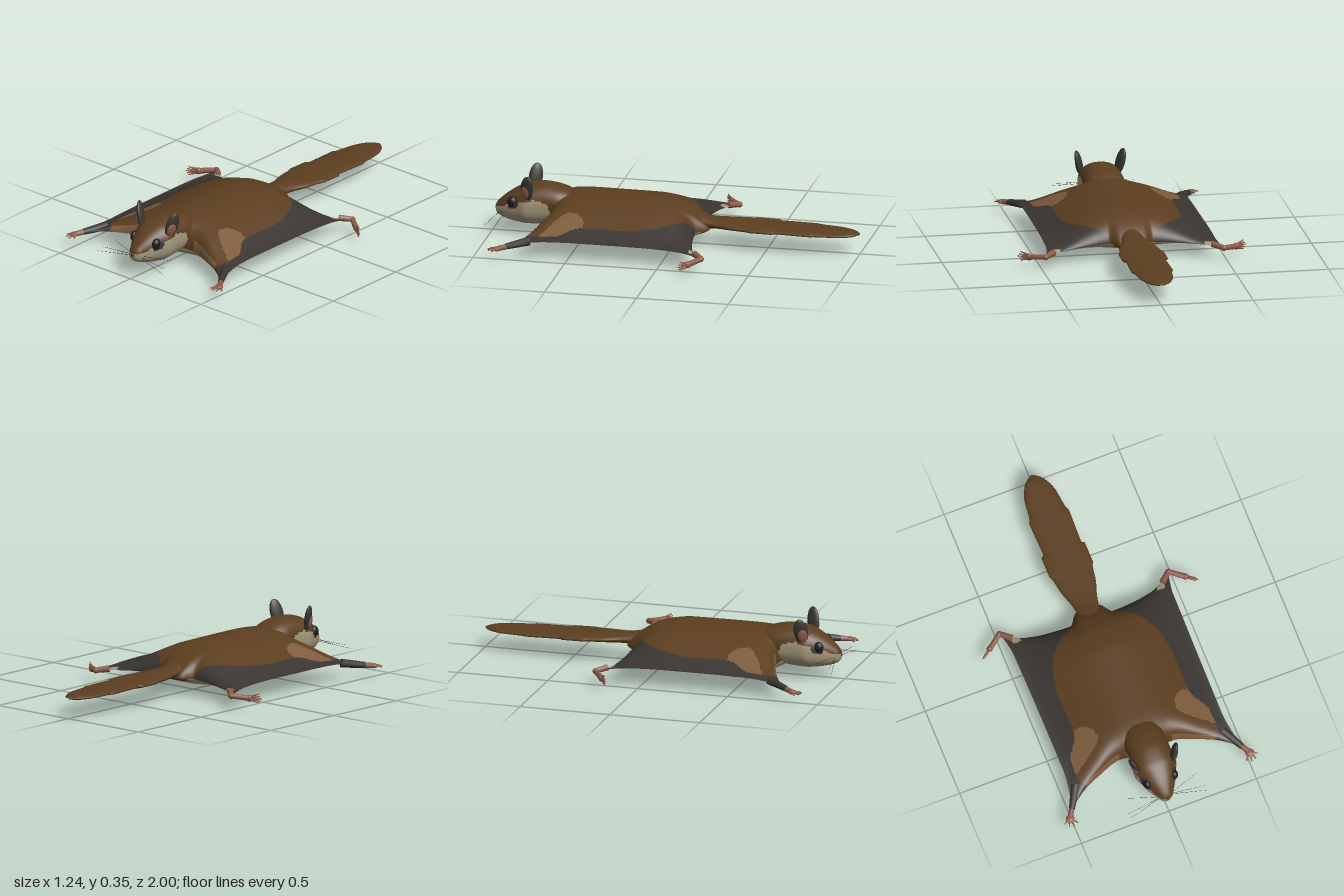
import * as THREE from 'three';

const colours = { brownFur: 0x5c3e20, darkMembrane: 0x3a3531, creamFur: 0xa3967a, tanFur: 0x7e5c3c, pinkSkin: 0x8c5b49, eyeBlack: 0x1d1b1b };
const names = Object.keys(colours);
const [BROWN, DARK, CREAM, TAN, PINK, BLACK] = [0, 1, 2, 3, 4, 5];

// smooth monotone interpolation through [key, value] pairs
function curve(points) {
  const d = [];
  for (let i = 0; i < points.length - 1; i++) d.push((points[i + 1][1] - points[i][1]) / (points[i + 1][0] - points[i][0]));
  const m = points.map((_, i) => {
    if (i === 0) return d[0];
    if (i === d.length) return d[i - 1];
    return d[i - 1] * d[i] <= 0 ? 0 : (2 * d[i - 1] * d[i]) / (d[i - 1] + d[i]);
  });
  return (x) => {
    x = Math.min(Math.max(x, points[0][0]), points[points.length - 1][0]);
    let i = 0;
    while (i < d.length - 1 && x > points[i + 1][0]) i++;
    const h = points[i + 1][0] - points[i][0], t = (x - points[i][0]) / h, t2 = t * t, t3 = t2 * t;
    return (2 * t3 - 3 * t2 + 1) * points[i][1] + (t3 - 2 * t2 + t) * h * m[i]
      + (3 * t2 - 2 * t3) * points[i + 1][1] + (t3 - t2) * h * m[i + 1];
  };
}

// grid surface with one material group per colour; wrap closes it in v
function surface(point, nu, nv, paint, { wrap = false, flip = false } = {}) {
  const pos = [], rows = wrap ? nv : nv + 1, buckets = names.map(() => []);
  for (let i = 0; i <= nu; i++) for (let j = 0; j < rows; j++) pos.push(...point(i / nu, j / nv));
  const at = (i, j) => i * rows + (j % rows);
  for (let i = 0; i < nu; i++) for (let j = 0; j < nv; j++) {
    const a = at(i, j), b = at(i + 1, j), c = at(i + 1, j + 1), d = at(i, j + 1);
    const mid = [0, 1, 2].map((k) => (pos[a * 3 + k] + pos[b * 3 + k] + pos[c * 3 + k] + pos[d * 3 + k]) / 4);
    buckets[paint(...mid)].push(...(flip ? [a, b, d, b, c, d] : [a, d, b, b, d, c]));
  }
  const g = new THREE.BufferGeometry();
  g.setAttribute('position', new THREE.Float32BufferAttribute(pos, 3));
  g.setIndex(buckets.flat());
  let start = 0;
  buckets.forEach((b, k) => { if (b.length) g.addGroup(start, b.length, k); start += b.length; });
  g.computeVertexNormals();
  return g;
}

export function createModel() {
  const model = new THREE.Group();
  model.name = 'glidingSquirrel';
  const mats = names.map((name) => {
    const m = new THREE.MeshStandardMaterial({ color: colours[name] });
    m.name = name;
    return m;
  });
  const add = (name, geometry, material, parent = model) => {
    const mesh = new THREE.Mesh(geometry, material);
    mesh.name = name;
    parent.add(mesh);
    return mesh;
  };
  const rod = (name, from, to, r0, r1, colour, parent) => {
    const a = new THREE.Vector3(...from), b = new THREE.Vector3(...to), dir = b.clone().sub(a);
    const mesh = add(name, new THREE.CylinderGeometry(r1, r0, dir.length(), 8), mats[colour], parent);
    mesh.position.copy(a).add(b).multiplyScalar(0.5);
    mesh.quaternion.setFromUnitVectors(new THREE.Vector3(0, 1, 0), dir.normalize());
    return mesh;
  };
  const ball = (name, p, scale, colour, parent) => {
    const mesh = add(name, new THREE.SphereGeometry(1, 20, 14), mats[colour], parent);
    mesh.position.set(...p);
    mesh.scale.set(...scale);
    return mesh;
  };

  // body and gliding membrane: outline, ridge and belly curves
  const frontEdge = curve([[0, 0.72], [0.3, 0.665], [0.6, 0.71], [0.8, 0.755], [1, 0.83]]);
  const rearEdge = curve([[0, -0.2], [0.14, -0.19], [0.25, -0.13], [0.5, -0.14], [0.75, -0.165], [0.9, -0.2], [1, -0.24]]);
  const halfWidth = curve([[0, 0.48], [0.13, 0.458], [0.8, 0.452], [0.92, 0.468], [1, 0.49]]);
  const ridge = curve([[-0.22, 0.13], [-0.1, 0.195], [0, 0.232], [0.12, 0.25], [0.72, 0.255]]);
  const belly = curve([[-0.22, 0.095], [-0.15, 0.07], [0, 0.036], [0.3, 0.012], [0.48, 0.001], [0.6, 0.025], [0.72, 0.06]]);
  const sheet = (height, power) => (u, w) => {
    const side = 2 * u - 1, s = Math.abs(side), v = (1 - Math.cos(Math.PI * w)) / 2, e = Math.abs(2 * v - 1);
    const z = rearEdge(s) + (frontEdge(s) - rearEdge(s)) * v;
    const rim = 0.102 - 0.032 * s * e ** 4;
    const y = rim + (height(z) - rim) * (1 - s * s) ** power * Math.sqrt(Math.max(0, 1 - e ** 8));
    return [side * halfWidth(v), y, z];
  };
  const brownLimit = curve([[-0.22, 0.08], [-0.12, 0.13], [-0.05, 0.21], [0.05, 0.29], [0.2, 0.325], [0.45, 0.33], [0.6, 0.4], [0.68, 0.4], [0.76, 0.37]]);
  const patchInner = curve([[0.44, 0.29], [0.48, 0.235], [0.54, 0.225], [0.6, 0.29], [0.66, 0.39]]);
  const backPaint = (x, y, z) => {
    x = Math.abs(x);
    const frontGap = frontEdge(x / 0.48) - z;
    if (x > 0.39 && x < 0.435 && z < -0.155) return CREAM;
    if (x > 0.15 && x < 0.37 && frontGap < 0.03 && y < 0.095 + 0.22 * (0.42 - x)) return TAN;
    if (x > brownLimit(z)) return DARK;
    if (z > 0.44 && z < 0.66 && x > patchInner(z)) return TAN;
    return BROWN;
  };
  const bellyPaint = (x, y, z) => (Math.abs(x) < 0.1 && z < -0.15 ? BROWN : CREAM);
  add('backAndMembrane', surface(sheet(ridge, 1.6), 130, 120, backPaint), mats);
  add('bellyAndMembrane', surface(sheet(belly, 1.2), 70, 64, bellyPaint, { flip: true }), mats);

  // head, lofted from the neck to the snout
  const headTop = curve([[0.52, 0.22], [0.58, 0.258], [0.65, 0.278], [0.72, 0.286], [0.8, 0.275], [0.85, 0.255], [0.9, 0.225], [0.95, 0.185], [0.975, 0.158], [0.985, 0.135]]);
  const headBase = curve([[0.52, 0.12], [0.65, 0.075], [0.72, 0.062], [0.8, 0.058], [0.85, 0.062], [0.9, 0.07], [0.95, 0.085], [0.975, 0.102], [0.985, 0.13]]);
  const headWide = curve([[0.52, 0.08], [0.65, 0.113], [0.72, 0.114], [0.8, 0.118], [0.85, 0.1], [0.9, 0.076], [0.95, 0.045], [0.975, 0.027], [0.985, 0.002]]);
  const cheekLine = curve([[0.5, 0.1], [0.655, 0.12], [0.68, 0.19], [0.75, 0.212], [0.82, 0.195], [0.9, 0.17], [0.95, 0.148], [0.985, 0.14]]);
  const headPoint = (u, v) => {
    const z = 0.52 + 0.465 * Math.sin(u * Math.PI / 2), a = v * Math.PI * 2 - Math.PI / 2;
    const box = (t) => Math.sign(t) * Math.abs(t) ** 0.85;
    const t = headTop(z), b = headBase(z);
    return [headWide(z) * box(Math.cos(a)), (t + b) / 2 + (t - b) / 2 * box(Math.sin(a)), z];
  };
  const headPaint = (x, y, z) => {
    if (Math.hypot(Math.abs(x) - 0.08, y - 0.185, z - 0.873) < 0.037) return DARK;
    return y > cheekLine(z) ? BROWN : CREAM;
  };
  add('head', surface(headPoint, 70, 72, headPaint, { wrap: true }), mats);
  ball('nose', [0, 0.132, 0.976], [0.014, 0.011, 0.01], DARK);

  // broad flat tail with stepped tufts
  const tailWide = curve([[-1, 0.004], [-0.985, 0.03], [-0.95, 0.06], [-0.88, 0.088], [-0.76, 0.105], [-0.75, 0.113],
    [-0.55, 0.108], [-0.54, 0.124], [-0.42, 0.124], [-0.41, 0.117], [-0.32, 0.1], [-0.22, 0.07], [-0.1, 0.05]]);
  const tailThick = curve([[-1, 0.004], [-0.95, 0.014], [-0.4, 0.022], [-0.22, 0.028], [-0.1, 0.05]]);
  add('tail', surface((u, v) => {
    const z = -1 + 0.9 * u, a = v * Math.PI * 2;
    return [tailWide(z) * Math.cos(a), 0.111 + 0.018 * (z + 1) + tailThick(z) * Math.sin(a), z];
  }, 100, 28, () => BROWN, { wrap: true }), mats);

  // paired parts
  for (const s of [1, -1]) {
    const side = s > 0 ? 'left' : 'right';
    const group = (name) => {
      const g = new THREE.Group();
      g.name = side + name;
      model.add(g);
      return g;
    };

    // eye
    ball(side + 'Eye', [s * 0.077, 0.186, 0.877], [0.021, 0.03, 0.027], BLACK);

    // ear: dark shell with a pink hollow
    const ear = group('Ear');
    ear.position.set(s * 0.112, 0.275, 0.79);
    ear.rotation.set(-0.2, -s * 0.35, -s * 0.26);
    ball('earShell', [0, 0, 0], [0.017, 0.075, 0.038], DARK, ear);
    ball('earHollow', [s * 0.012, -0.02, 0.004], [0.01, 0.04, 0.026], PINK, ear);

    // fore limb
    const arm = group('ForeLimb');
    rod('forearm', [s * 0.42, 0.088, 0.71], [s * 0.487, 0.07, 0.825], 0.024, 0.016, DARK, arm);
    rod('wrist', [s * 0.482, 0.07, 0.815], [s * 0.51, 0.064, 0.862], 0.015, 0.014, PINK, arm);
    ball('palm', [s * 0.513, 0.063, 0.868], [0.023, 0.012, 0.022], PINK, arm);
    [[0.48, 0.905], [0.507, 0.918], [0.533, 0.91], [0.552, 0.888]].forEach(([x, z], i) =>
      rod('finger' + (i + 1), [s * (0.503 + i * 0.008), 0.064, 0.88 - i * 0.003], [s * x, 0.058, z], 0.006, 0.003, PINK, arm));

    // hind limb
    const leg = group('HindLimb');
    rod('shank', [s * 0.43, 0.082, -0.19], [s * 0.482, 0.073, -0.24], 0.018, 0.015, PINK, leg);
    ball('heel', [s * 0.483, 0.072, -0.239], [0.017, 0.016, 0.016], PINK, leg);
    rod('foot', [s * 0.483, 0.072, -0.239], [s * 0.56, 0.062, -0.183], 0.014, 0.016, PINK, leg);
    ball('footPad', [s * 0.56, 0.062, -0.183], [0.017, 0.019, 0.015], PINK, leg);
    [0.038, 0.048, 0.06, 0.072, 0.085].forEach((y, i) =>
      rod('toe' + (i + 1), [s * 0.562, 0.052 + i * 0.005, -0.182], [s * (0.617 - Math.abs(i - 2) * 0.007), y, -0.143 - Math.abs(i - 2) * 0.004], 0.006, 0.003, PINK, leg));

    // whiskers
    [[0.23, 0.095, 0.998], [0.22, 0.115, 0.975], [0.2, 0.13, 0.895]].forEach((tip, i) =>
      rod(side + 'Whisker' + (i + 1), [s * 0.03, 0.115 + i * 0.006, 0.952], [s * tip[0], tip[1], tip[2]], 0.001, 0.0005, BLACK));
  }
  return model;
}
